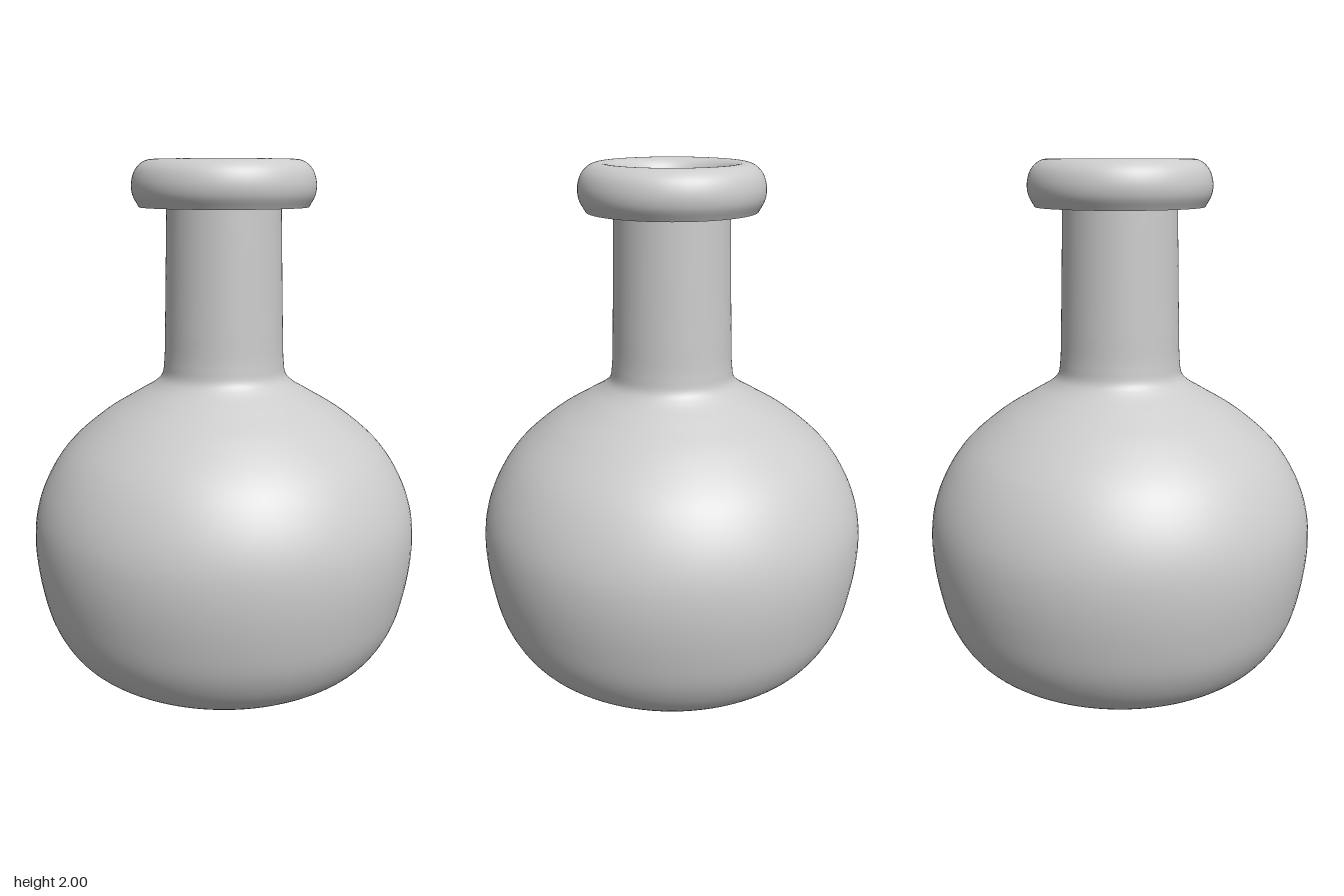
import * as THREE from 'three';

const material = new THREE.MeshStandardMaterial({ color: 0xcccccc, side: THREE.DoubleSide });

// Turns a smooth curve through [radius, height] points around the y axis
function turned(name, points, divisions) {
  const curve = new THREE.CatmullRomCurve3(points.map(([r, y]) => new THREE.Vector3(r, y, 0)));
  const profile = curve.getPoints(divisions).map((p) => new THREE.Vector2(Math.max(p.x, 0), p.y));
  const mesh = new THREE.Mesh(new THREE.LatheGeometry(profile, 96), material);
  mesh.name = name;
  return mesh;
}

export function createModel() {
  const bottle = new THREE.Group();
  bottle.name = 'bottle';

  // Rounded belly, sloping shoulder and slightly tapered neck, one thin wall
  bottle.add(turned('bodyAndNeck', [
    [0, 0], [0.18, 0.007], [0.36, 0.029], [0.49, 0.064], [0.6, 0.137],
    [0.677, 0.257], [0.72, 0.42], [0.735, 0.58], [0.722, 0.7], [0.677, 0.82],
    [0.6, 0.935], [0.466, 1.052], [0.34, 1.13], [0.265, 1.176], [0.236, 1.208],
    [0.227, 1.26], [0.222, 1.4], [0.216, 1.65], [0.212, 1.83],
  ], 144));

  // Lip: the wall rolls outward and down, leaving a gap under its edge
  bottle.add(turned('rolledLip', [
    [0.212, 1.83], [0.197, 1.87], [0.19, 1.915], [0.199, 1.96], [0.222, 1.99],
    [0.255, 2], [0.29, 1.994], [0.322, 1.966], [0.338, 1.92], [0.335, 1.875], [0.312, 1.83],
  ], 60));

  return bottle;
}
